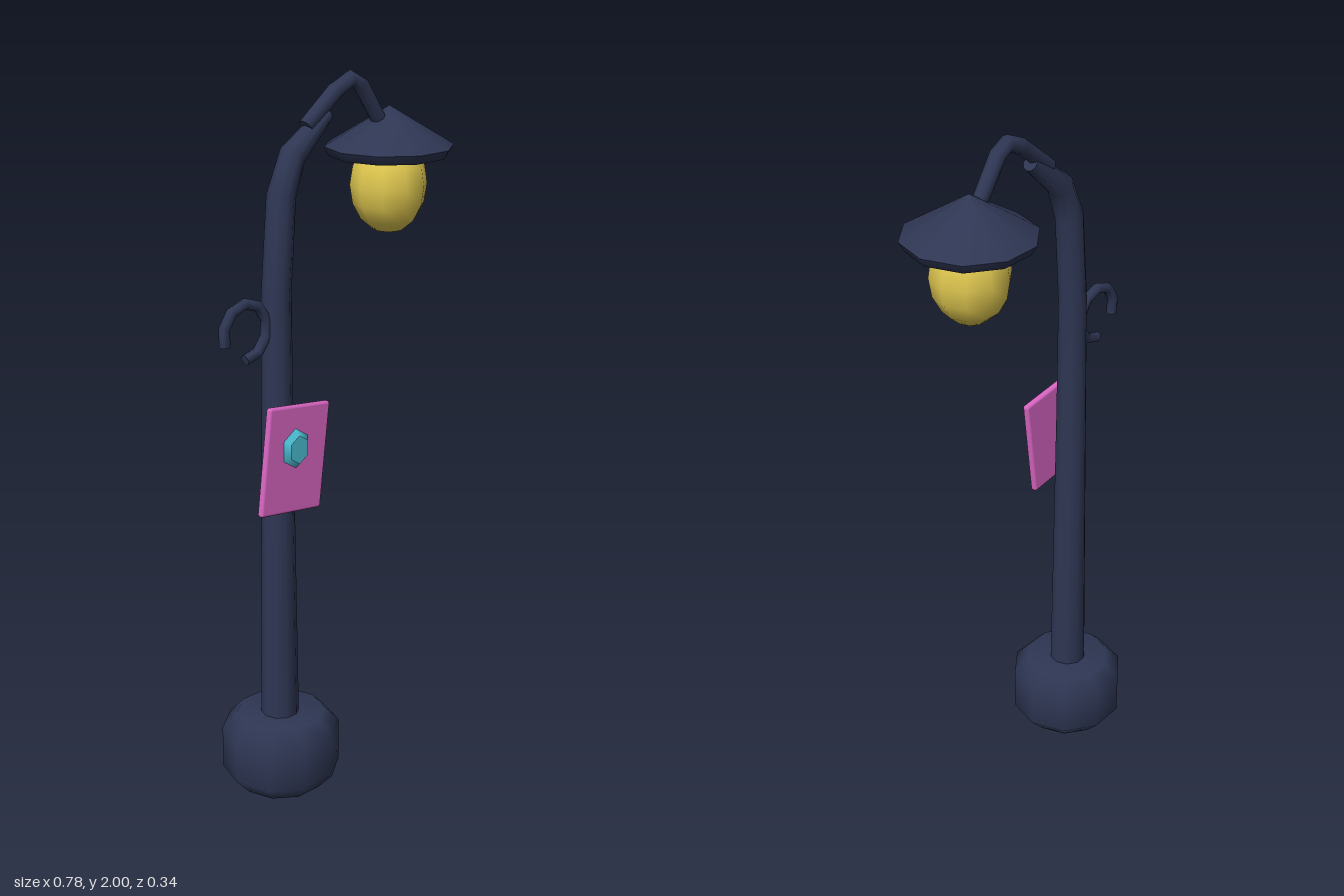
import * as THREE from 'three';
import { RoundedBoxGeometry } from 'three/addons/geometries/RoundedBoxGeometry.js';

const paint = (name, color) => {
  const m = new THREE.MeshStandardMaterial({ color });
  m.name = name;
  return m;
};

// Tapered, capped tube along points [x, y, radius] lying in the z = 0 plane
function sweep(path, sides) {
  const pos = [], idx = [];
  path.forEach(([x, y, r], i) => {
    const p = path[Math.max(i - 1, 0)], q = path[Math.min(i + 1, path.length - 1)];
    const t = new THREE.Vector2(q[0] - p[0], q[1] - p[1]).normalize();
    for (let j = 0; j < sides; j++) {
      const a = (j / sides) * Math.PI * 2, n = r * Math.cos(a);
      pos.push(x - t.y * n, y + t.x * n, r * Math.sin(a));
    }
  });
  for (let i = 0; i < path.length - 1; i++) {
    for (let j = 0; j < sides; j++) {
      const k = (j + 1) % sides, a = i * sides, b = a + sides;
      idx.push(a + j, a + k, b + k, a + j, b + k, b + j);
    }
  }
  // End caps with their own vertices, so the rims stay sharp
  for (const end of [0, path.length - 1]) {
    const c = pos.length / 3;
    pos.push(path[end][0], path[end][1], 0, ...pos.slice(end * sides * 3, (end + 1) * sides * 3));
    for (let j = 0; j < sides; j++) {
      const a = c + 1 + j, b = c + 1 + ((j + 1) % sides);
      if (end === 0) idx.push(c, b, a);
      else idx.push(c, a, b);
    }
  }
  const g = new THREE.BufferGeometry();
  g.setAttribute('position', new THREE.Float32BufferAttribute(pos, 3));
  g.setIndex(idx);
  g.computeVertexNormals();
  return g;
}

// Ten-sided turned form with a corner on the x axis
const turned = (profile) =>
  new THREE.LatheGeometry(profile.map(([r, y]) => new THREE.Vector2(r, y)), 10, Math.PI / 2);

export function createModel() {
  const model = new THREE.Group();
  model.name = 'streetLamp';
  const iron = paint('dark navy iron', 0x2e3653);
  const glow = paint('warm yellow glass', 0xe0c850);
  const pink = paint('pink board', 0xd865c2);
  const teal = paint('teal badge', 0x4cbdd2);

  const add = (name, geometry, material, x = 0, y = 0, z = 0) => {
    const mesh = new THREE.Mesh(geometry, material);
    mesh.name = name;
    mesh.position.set(x, y, z);
    model.add(mesh);
    return mesh;
  };

  // Chamfered foot
  add('base', turned([[0, 0], [0.122, 0], [0.167, 0.05], [0.167, 0.175], [0.125, 0.22], [0, 0.22]]),
    iron, -0.2);

  // Tapering pole that bends over at the top
  add('pole', sweep([
    [-0.202, 0.18, 0.054], [-0.2, 1.1, 0.043], [-0.198, 1.45, 0.04],
    [-0.178, 1.7, 0.039], [-0.137, 1.8, 0.036], [-0.018, 1.895, 0.021],
  ], 10), iron);

  // Thin arm carrying the lamp
  add('arm', sweep([
    [-0.09, 1.866, 0.022], [0.015, 1.95, 0.022], [0.07, 1.975, 0.022],
    [0.105, 1.956, 0.022], [0.185, 1.84, 0.021],
  ], 8), iron);

  // Open ring hook on the side of the pole
  const hook = [];
  for (let i = 0; i <= 8; i++) {
    const a = THREE.MathUtils.degToRad(200 - i * 36.5);
    hook.push([-0.307 + 0.074 * Math.cos(a), 1.362 + 0.076 * Math.sin(a), 0.015]);
  }
  add('hook', sweep(hook, 8), iron);

  // Lamp: conical shade, rim with underside, and bulb
  const lampX = 0.214;
  add('shadeTop', turned([[0.178, 1.782], [0, 1.89]]), iron, lampX);
  add('shadeRim', turned([[0, 1.757], [0.164, 1.757], [0.178, 1.782]]), iron, lampX);
  const bulb = add('bulb', new THREE.SphereGeometry(0.107, 10, 8), glow, lampX, 1.677, 0);
  bulb.scale.y = 1.26;

  // Tilted notice board with a six-sided badge
  const board = add('noticeBoard', new RoundedBoxGeometry(0.216, 0.3, 0.02, 2, 0.008),
    pink, -0.2, 1.003, 0.065);
  board.rotation.z = -0.124;
  const badge = add('badge', new THREE.CylinderGeometry(0.04, 0.056, 0.016, 6).rotateX(Math.PI / 2),
    teal, -0.202, 1.035, 0.083);
  badge.scale.x = 0.87;

  return model;
}
